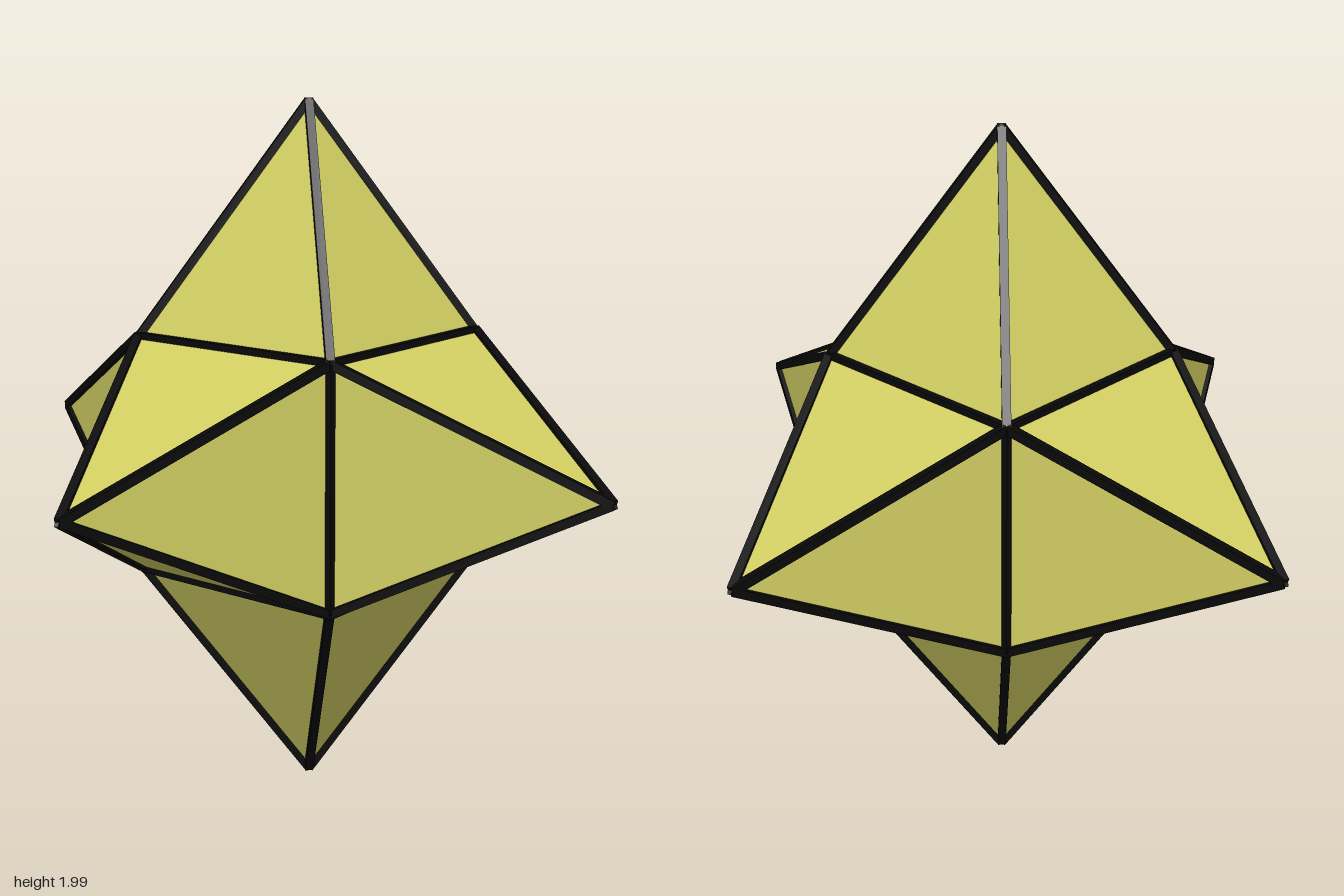
import * as THREE from 'three';

const HALF = 0.34;    // half the side of the inner cube
const TIP = 0.99;     // distance from centre to a spike tip
const EDGE = 0.024;   // side of the square edge bars

export function createModel() {
  const olive = new THREE.MeshStandardMaterial({ color: 0xd0cd62, flatShading: true });
  olive.name = 'olive yellow';
  const black = new THREE.MeshStandardMaterial({ color: 0x080808, flatShading: true });
  black.name = 'black';

  const model = new THREE.Group();
  model.name = 'spikedStar';
  const star = new THREE.Group();
  star.name = 'star';
  star.position.y = 0.998;
  model.add(star);

  // Square bar running between two points
  const bar = (a, b, name) => {
    const mesh = new THREE.Mesh(new THREE.BoxGeometry(EDGE, EDGE, a.distanceTo(b)), black);
    mesh.name = name;
    mesh.position.addVectors(a, b).multiplyScalar(0.5);
    mesh.lookAt(b);
    // keep the bar's direction independent of its own position
    mesh.quaternion.setFromRotationMatrix(
      new THREE.Matrix4().lookAt(b, a, new THREE.Vector3(0, 1, 0)));
    star.add(mesh);
  };

  // One four-sided spike on each face of the cube
  const spike = new THREE.ConeGeometry(HALF * Math.SQRT2, TIP - HALF, 4, 1, true);
  spike.rotateY(Math.PI / 4);
  spike.translate(0, (TIP + HALF) / 2, 0);
  const up = new THREE.Vector3(0, 1, 0);

  for (let axis = 0; axis < 3; axis++) {
    const u = (axis + 1) % 3, v = (axis + 2) % 3;
    for (const side of [-1, 1]) {
      const dir = new THREE.Vector3().setComponent(axis, side);
      const mesh = new THREE.Mesh(spike, olive);
      mesh.name = 'spike';
      mesh.quaternion.setFromUnitVectors(up, dir);
      star.add(mesh);

      // Bars along the four ridges of this spike
      for (const i of [-1, 1]) for (const j of [-1, 1]) {
        const corner = new THREE.Vector3().setComponent(axis, side * HALF)
          .setComponent(u, i * HALF).setComponent(v, j * HALF);
        bar(corner, dir.clone().multiplyScalar(TIP), 'spikeEdge');
      }
    }

    // Bars in the valleys, along the cube edges parallel to this axis
    for (const i of [-1, 1]) for (const j of [-1, 1]) {
      const a = new THREE.Vector3().setComponent(axis, -HALF)
        .setComponent(u, i * HALF).setComponent(v, j * HALF);
      bar(a, a.clone().setComponent(axis, HALF), 'valleyEdge');
    }
  }
  return model;
}
